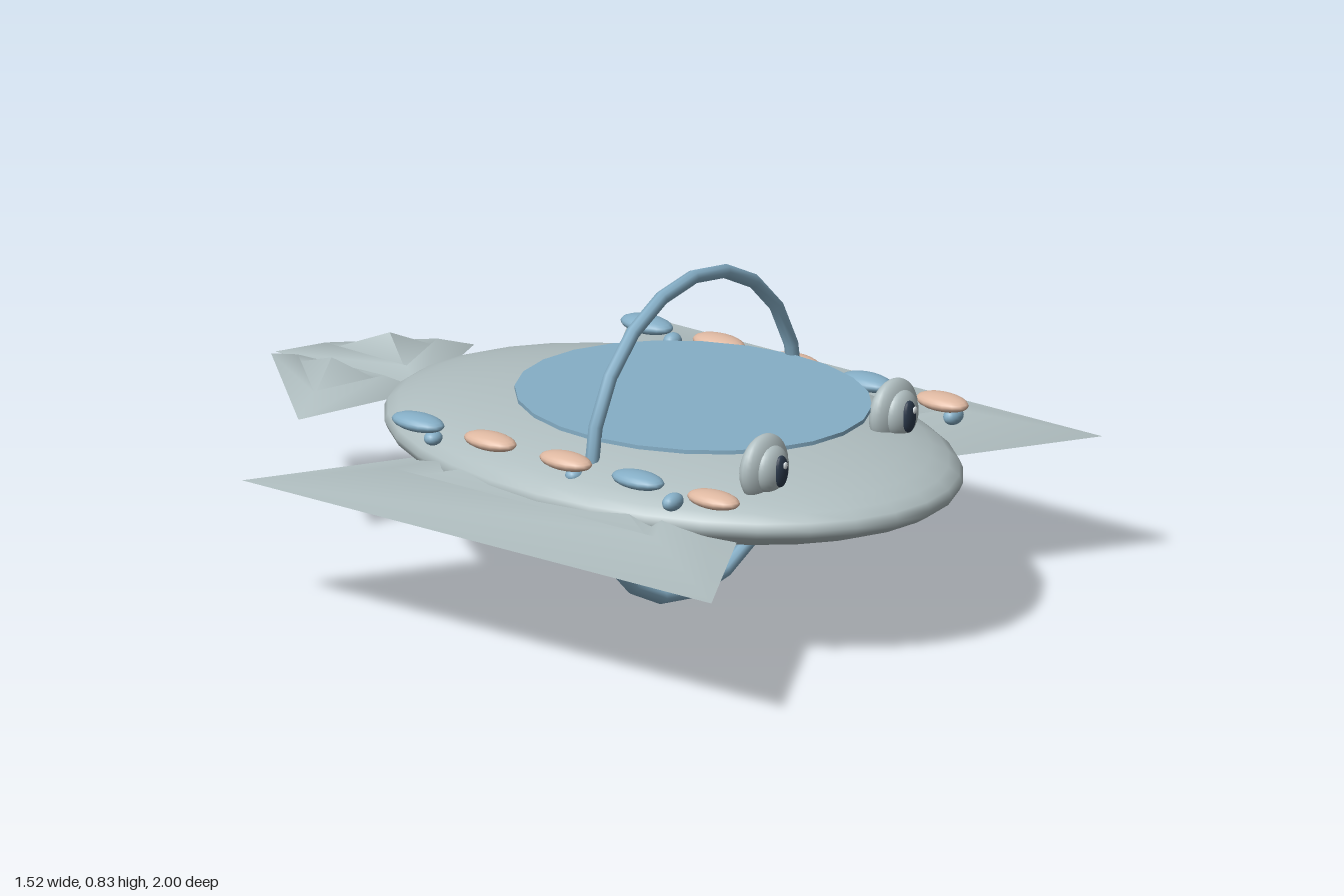
import * as THREE from 'three';

const mat = (name, color) => {
  const m = new THREE.MeshStandardMaterial({ color });
  m.name = name;
  return m;
};

export function createModel() {
  const group = new THREE.Group();
  const grey = mat('hullGrey', 0xb0bec0);
  const blue = mat('softBlue', 0x85aec6);
  const peach = mat('peach', 0xdfb9a2);
  const dark = mat('pupilNavy', 0x2c3a4c);
  const white = mat('eyeGlint', 0xdde4e6);

  const add = (name, geometry, material, x = 0, y = 0, z = 0) => {
    const mesh = new THREE.Mesh(geometry, material);
    mesh.name = name;
    mesh.position.set(x, y, z);
    group.add(mesh);
    return mesh;
  };
  const ellipsoid = (rx, ry, rz, w = 24, h = 16) => new THREE.SphereGeometry(1, w, h).scale(rx, ry, rz);

  // Three-sided stepped pyramid with a groove between flange and centre
  const finGeometry = (corners, baseY, height) => {
    const [a, b, c] = corners;
    const area = (b[0] - a[0]) * (c[1] - a[1]) - (b[1] - a[1]) * (c[0] - a[0]);
    const loop = area < 0 ? corners : [...corners].reverse();
    const cx = (a[0] + b[0] + c[0]) / 3, cz = (a[1] + b[1] + c[1]) / 3;
    const pos = [], index = [];
    const rings = [[1, 0], [0.56, 0.46], [0.5, 0.3], [0, 1]];
    for (const [s, h] of rings) {
      for (const [x, z] of loop) pos.push(cx + (x - cx) * s, baseY + height * h, cz + (z - cz) * s);
    }
    for (let r = 0; r < 3; r++) {
      for (let i = 0; i < 3; i++) {
        const j = (i + 1) % 3, p = r * 3;
        index.push(p + i, p + j, p + 3 + j);
        if (r < 2) index.push(p + i, p + 3 + j, p + 3 + i);
      }
    }
    // Flat underside with its own corners
    const n = pos.length / 3;
    for (const [x, z] of loop) pos.push(x, baseY, z);
    index.push(n, n + 2, n + 1);
    const g = new THREE.BufferGeometry();
    g.setAttribute('position', new THREE.Float32BufferAttribute(pos, 3));
    g.setIndex(index);
    g.computeVertexNormals();
    return g;
  };

  // Hull, tilted deck panel and the hoop passing through the hull
  add('hull', ellipsoid(0.535, 0.122, 0.78, 32, 20), grey, 0, 0.382, 0.22);
  const deck = add('deckPanel', new THREE.CylinderGeometry(1, 1, 0.01, 24).scale(0.38, 1, 0.457), blue, 0, 0.513, 0.28);
  deck.rotation.x = -0.018;
  add('hoop', new THREE.TorusGeometry(0.4, 0.0175, 8, 20), blue, 0, 0.42, 0.28).rotation.z = Math.PI / 2;

  const buttons = [[-0.21, blue], [0.01, peach], [0.24, peach], [0.46, blue], [0.69, peach]];
  for (const s of [1, -1]) {
    const side = s > 0 ? 'left' : 'right';

    // Side fins and tail halves
    add(side + 'SideFin', finGeometry([[s * 0.76, -0.5], [s * 0.76, 0.93], [s * -0.47, 0.215]], 0.344, 0.11), grey);
    add(side + 'TailFin', finGeometry([[s * 0.008, -1], [s * 0.342, -0.655], [s * -0.01, -0.545]], 0.347, 0.078), grey);

    // Eyes
    const ex = s * 0.252, ey = 0.496;
    add(side + 'EyeSocket', ellipsoid(0.084, 0.084, 0.036), grey, ex, ey, 0.692);
    add(side + 'Eyeball', ellipsoid(0.056, 0.06, 0.032), grey, ex, ey, 0.715);
    add(side + 'Pupil', ellipsoid(0.024, 0.04, 0.012, 16, 12), dark, ex - s * 0.003, ey, 0.742);
    add(side + 'EyeGlint', ellipsoid(0.008, 0.009, 0.004, 12, 8), white, ex + 0.006, ey + 0.016, 0.753);

    // Large oval studs along the rim
    for (const [z, m] of buttons) {
      add(side + 'RimStud', ellipsoid(0.041, 0.021, 0.074, 16, 12), m, s * 0.445, 0.468, z);
    }
  }

  // Small studs under the large ones
  const small = [
    [0.45, 0.437, 0.72, 0.03, 0.022], [0.45, 0.445, 0.43, 0.025, 0.016],
    [0.46, 0.455, 0.14, 0.021, 0.011], [0.455, 0.437, -0.14, 0.026, 0.021],
    [-0.45, 0.437, 0.57, 0.033, 0.022], [-0.45, 0.44, 0.27, 0.025, 0.018],
    [-0.45, 0.44, -0.16, 0.025, 0.018],
  ];
  for (const [x, y, z, r, ry] of small) {
    add('smallStud', ellipsoid(r, ry, 0.021, 16, 12), blue, x, y, z);
  }
  return group;
}
